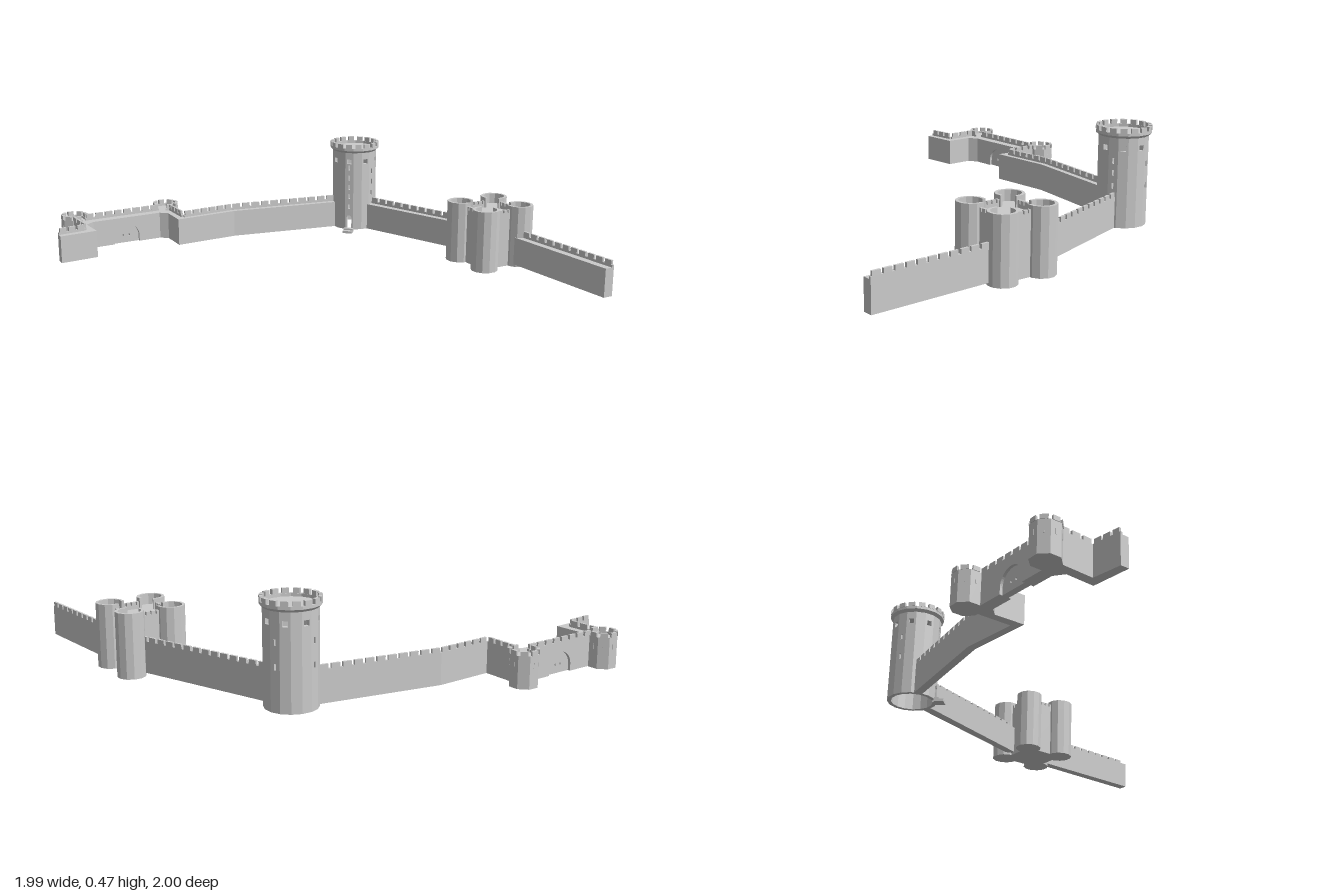
import * as THREE from 'three';

const stone = new THREE.MeshStandardMaterial({ color: 0xcccccc, flatShading: true });
const BASE = 0.012, WALK = 0.145, CRENEL = 0.156, TOP = 0.176;

function add(parent, name, geometry) {
  const mesh = new THREE.Mesh(geometry, stone);
  mesh.name = name;
  parent.add(mesh);
  return mesh;
}

// Upright prism over a footprint of [x, z] points
function slab(parent, name, pts, y0, y1) {
  const shape = new THREE.Shape(pts.map(([x, z]) => new THREE.Vector2(x, -z)));
  const geo = new THREE.ExtrudeGeometry(shape, { depth: y1 - y0, bevelEnabled: false });
  return add(parent, name, geo.rotateX(-Math.PI / 2).translate(0, y0, 0));
}

// Thin parapet with merlons from a to b, standing on the right of that line
function battlement(parent, a, b, y0, y1, y2, pitch = 0.05, thick = 0.011) {
  const dx = b[0] - a[0], dz = b[1] - a[1], len = Math.hypot(dx, dz);
  const g = new THREE.Group();
  g.name = 'battlement';
  g.position.set(a[0], 0, a[1]);
  g.rotation.y = -Math.atan2(dz, dx);
  add(g, 'parapet', new THREE.BoxGeometry(len, y1 - y0, thick).translate(len / 2, (y0 + y1) / 2, thick / 2));
  const n = Math.max(1, Math.round(len / pitch)), step = len / n;
  for (let i = 0; i < n; i++) {
    add(g, 'merlon', new THREE.BoxGeometry(step * 0.74, y2 - y1, thick)
      .translate((i + 0.5) * step, (y1 + y2) / 2, thick / 2));
  }
  parent.add(g);
}

// Wall between outer and inner lines, with battlements on the outer edge
function wall(parent, name, outer, inner) {
  const g = new THREE.Group();
  g.name = name;
  slab(g, 'wallBody', [...outer, ...inner.slice().reverse()], BASE, WALK);
  for (let i = 0; i + 1 < outer.length; i++) battlement(g, outer[i], outer[i + 1], WALK, CRENEL, TOP);
  parent.add(g);
}

// Part of a ring; angles run from +z towards +x
function sector(parent, name, a0, a1, rIn, rOut, y0, y1) {
  const p = (r, a) => [r * Math.sin(a), r * Math.cos(a)];
  slab(parent, name, [p(rOut, a0), p(rOut, a1), p(rIn, a1), p(rIn, a0)], y0, y1);
}

// Ring of facets, leaving out those that face the opening
function ring(parent, name, n, rIn, rOut, y0, y1, open = null, gap = 0, fill = 1) {
  const step = Math.PI * 2 / n;
  for (let i = 0; i < n; i++) {
    const mid = i * step;
    if (open !== null && Math.cos(mid - open) > Math.cos(gap)) continue;
    sector(parent, name, mid - step * fill / 2, mid + step * fill / 2, rIn, rOut, y0, y1);
  }
}

function rectPath(x, y, w, h) {
  return new THREE.Path([[-1, -1], [-1, 1], [1, 1], [1, -1]]
    .map(([i, j]) => new THREE.Vector2(x + i * w / 2, y + j * h / 2)));
}

function archShape(r, spring) {
  const s = new THREE.Shape();
  s.moveTo(-r, BASE);
  s.lineTo(r, BASE);
  s.absarc(0, spring, r, 0, Math.PI, false);
  s.closePath();
  return s;
}

// Hollow great tower made of sixteen facets with openings
function greatTower() {
  const g = new THREE.Group();
  g.name = 'greatTower';
  g.position.set(0.6, 0, -0.595);
  const n = 16, apothem = 0.112, half = apothem * Math.tan(Math.PI / n);
  const slits = { 14: [0.345, 0.29, 0.24, 0.19, 0.135], 1: [0.32, 0.265, 0.205], 5: [0.3, 0.2], 9: [0.3, 0.2] };
  for (let i = 0; i < n; i++) {
    const s = new THREE.Shape();
    s.moveTo(-half, BASE);
    if (i === 14) { // doorway
      s.lineTo(-0.013, BASE);
      s.lineTo(-0.013, 0.075);
      s.absarc(0, 0.075, 0.013, Math.PI, 0, true);
      s.lineTo(0.013, BASE);
    }
    s.lineTo(half, BASE);
    s.lineTo(half, 0.43);
    s.lineTo(-half, 0.43);
    s.closePath();
    if (i % 2 === 0) s.holes.push(rectPath(0, 0.377, 0.024, 0.024));
    for (const y of slits[i] || []) s.holes.push(rectPath(0, y, 0.009, 0.026));
    const geo = new THREE.ExtrudeGeometry(s, { depth: 0.018, bevelEnabled: false, curveSegments: 6 });
    add(g, 'towerFacet', geo.translate(0, 0, apothem - 0.018)).rotation.y = i * Math.PI * 2 / n;
  }
  // Roof platform, flared corbel and crown
  const turn = Math.PI / n;
  add(g, 'corbel', new THREE.CylinderGeometry(0.127, 0.114, 0.012, n).rotateY(turn).translate(0, 0.43, 0));
  ring(g, 'crownParapet', n, 0.112, 0.127, 0.436, 0.449);
  ring(g, 'crownMerlon', n, 0.112, 0.127, 0.449, 0.47, null, 0, 0.62);
  // Doorstep
  const steps = new THREE.Group();
  steps.name = 'doorSteps';
  steps.rotation.y = -Math.PI / 4;
  add(steps, 'lowerStep', new THREE.BoxGeometry(0.05, 0.012, 0.045).translate(0, 0.006, 0.132));
  add(steps, 'upperStep', new THREE.BoxGeometry(0.05, 0.008, 0.025).translate(0, 0.016, 0.12));
  g.add(steps);
  return g;
}

// Small octagonal tower, open at the top towards the wall
function flankTower(x, z, open) {
  const g = new THREE.Group();
  g.name = 'flankTower';
  g.position.set(x, 0, z);
  const n = 8, r = 0.065, turn = Math.PI / n;
  add(g, 'towerBody', new THREE.CylinderGeometry(r, r, WALK - BASE, n).rotateY(turn).translate(0, (WALK + BASE) / 2, 0));
  ring(g, 'parapet', n, 0.052, r, WALK, CRENEL, open, 0.5);
  ring(g, 'merlon', n, 0.052, r, CRENEL, TOP, open, 0.5, 0.66);
  for (let i = 0; i < n; i++) {
    add(g, 'arrowSlit', new THREE.BoxGeometry(0.006, 0.026, 0.003).translate(0, 0.112, 0.0603)).rotation.y = i * turn * 2;
  }
  return g;
}

// Wall with an arched, closed gate
function gateWall() {
  const g = new THREE.Group();
  g.name = 'gateWall';
  g.position.set(-0.6, 0, -0.875);
  g.rotation.y = 0.03;
  const s = new THREE.Shape();
  s.moveTo(-0.21, BASE);
  s.lineTo(-0.068, BASE);
  s.lineTo(-0.068, 0.042);
  s.absarc(0, 0.042, 0.068, Math.PI, 0, true);
  s.lineTo(0.068, BASE);
  s.lineTo(0.21, BASE);
  s.lineTo(0.21, WALK);
  s.lineTo(-0.21, WALK);
  s.closePath();
  add(g, 'archedWall', new THREE.ExtrudeGeometry(s, { depth: 0.056, bevelEnabled: false }).translate(0, 0, -0.028));
  const leaf = archShape(0.068, 0.042);
  for (const x of [-0.016, 0.016]) leaf.holes.push(rectPath(x, 0.05, 0.008, 0.01));
  add(g, 'gateLeaf', new THREE.ExtrudeGeometry(leaf, { depth: 0.03, bevelEnabled: false }).translate(0, 0, -0.015));
  battlement(g, [-0.2, -0.028], [0.2, -0.028], WALK, CRENEL, TOP);
  return g;
}

// Square keep with four round corner turrets
function keep() {
  const g = new THREE.Group();
  g.name = 'cornerTurretKeep';
  g.position.set(0.829, 0, 0.28);
  const h = 0.105, floor = 0.245, n = 12, r = 0.064;
  add(g, 'keepBody', new THREE.BoxGeometry(h * 2, floor, h * 2).translate(0, floor / 2, 0));
  for (let i = 0; i < 4; i++) {
    const side = new THREE.Group();
    side.name = 'keepSide';
    side.rotation.y = i * Math.PI / 2;
    battlement(side, [-0.05, -h], [0.05, -h], floor, 0.262, 0.277, 0.025, 0.014);
    const turret = new THREE.Group();
    turret.name = 'cornerTurret';
    turret.position.set(0.1, 0, 0.1);
    add(turret, 'turretBody', new THREE.CylinderGeometry(r, r, floor, n).rotateY(Math.PI / n).translate(0, floor / 2, 0));
    ring(turret, 'turretParapet', n, 0.051, r, floor, 0.294, Math.PI * 1.25, 0.4);
    side.add(turret);
    g.add(side);
  }
  return g;
}

export function createModel() {
  const model = new THREE.Group();
  model.name = 'castleWalls';
  wall(model, 'westWall',
    [[-1, -0.7], [-0.862, -0.717], [-0.868, -0.88]],
    [[-1, -0.66], [-0.815, -0.675], [-0.82, -0.81], [-0.77, -0.846], [-0.77, -0.88]]);
  wall(model, 'northWall',
    [[-0.343, -0.89], [-0.343, -0.715], [-0.065, -0.733], [0.503, -0.644]],
    [[-0.42, -0.89], [-0.42, -0.856], [-0.382, -0.82], [-0.385, -0.678], [-0.065, -0.696], [0.503, -0.605]]);
  wall(model, 'eastWall', [[0.655, -0.5], [0.888, 0.178]], [[0.61, -0.49], [0.846, 0.178]]);
  wall(model, 'southWall', [[0.918, 0.38], [0.951, 1]], [[0.876, 0.38], [0.904, 1]]);
  model.add(flankTower(-0.845, -0.925, Math.PI / 4), flankTower(-0.35, -0.935, -Math.PI / 4));
  model.add(gateWall(), greatTower(), keep());
  return model;
}
